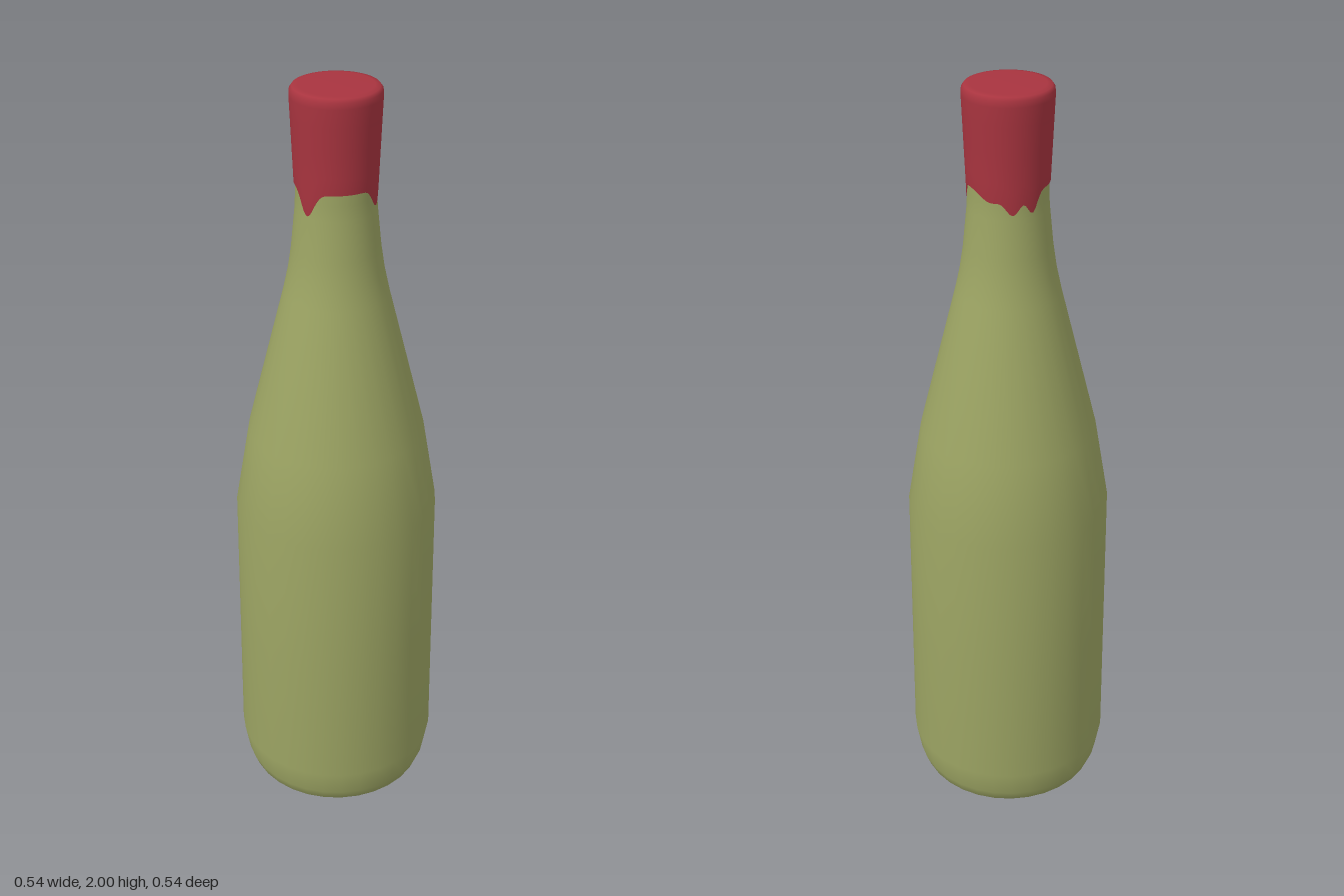
import * as THREE from 'three';

const lathe = (pts, segments) =>
  new THREE.LatheGeometry(pts.map(([r, y]) => new THREE.Vector2(r, y)), segments);

// Drips along the lower edge of the wax: angle from the front, depth, width (degrees)
const DRIPS = [
  [-24, 0.062, 15], [90, 0.05, 15], [-164, 0.052, 14],
  [-136, 0.052, 11], [165, 0.025, 20],
];

function waxEdge(angle) {
  let y = 1.765;
  for (const [at, depth, width] of DRIPS) {
    const d = ((angle - at + 540) % 360) - 180;
    y -= depth * Math.exp(-((d / width) ** 2));
  }
  return y;
}

function makeWaxCap() {
  const low = 1.7, high = 1.93;
  const geometry = lathe([
    [0.096, low], [0.1, low + 0.002], [0.1, 1.76], [0.104, 1.85], [0.108, high],
    [0.11, 1.975], [0.109, 1.99], [0.103, 1.998], [0.09, 2], [0, 2],
  ], 96);
  // Squeeze the lower rows upward so the rim follows the drips
  const p = geometry.attributes.position;
  for (let i = 0; i < p.count; i++) {
    const y = p.getY(i);
    if (y >= high) continue;
    const angle = THREE.MathUtils.radToDeg(Math.atan2(p.getX(i), p.getZ(i)));
    const newY = THREE.MathUtils.mapLinear(y, low, high, waxEdge(angle), high);
    // Keep the wax just outside the neck at its new height
    const r = Math.hypot(p.getX(i), p.getZ(i));
    const target = r < 0.098 ? r : 0.1 + 0.008 * Math.max(0, (newY - 1.74) / 0.19);
    p.setXYZ(i, p.getX(i) * target / r, newY, p.getZ(i) * target / r);
  }
  return geometry;
}

export function createModel() {
  const group = new THREE.Group();
  group.name = 'bottle';

  // Glass body: hollow underside, rounded foot, straight wall, shoulder, neck
  const glass = new THREE.Mesh(
    lathe([
      [0, 0.08], [0.06, 0.076], [0.12, 0.06], [0.17, 0.035], [0.2, 0.01],
      [0.215, 0.001], [0.23, 0.002], [0.245, 0.014], [0.257, 0.045], [0.27, 0.12],
      [0.267, 0.5], [0.264, 0.88], [0.227, 1.1], [0.132, 1.48], [0.119, 1.54],
      [0.11, 1.6], [0.1, 1.7], [0.098, 1.74], [0.098, 1.82],
    ], 32),
    new THREE.MeshStandardMaterial({ color: 0x9ca463 }),
  );
  glass.name = 'glassBody';

  // Wax seal dripping down the neck
  const wax = new THREE.Mesh(
    makeWaxCap(),
    new THREE.MeshStandardMaterial({ color: 0xa8343f }),
  );
  wax.name = 'waxCap';

  group.add(glass, wax);
  return group;
}
